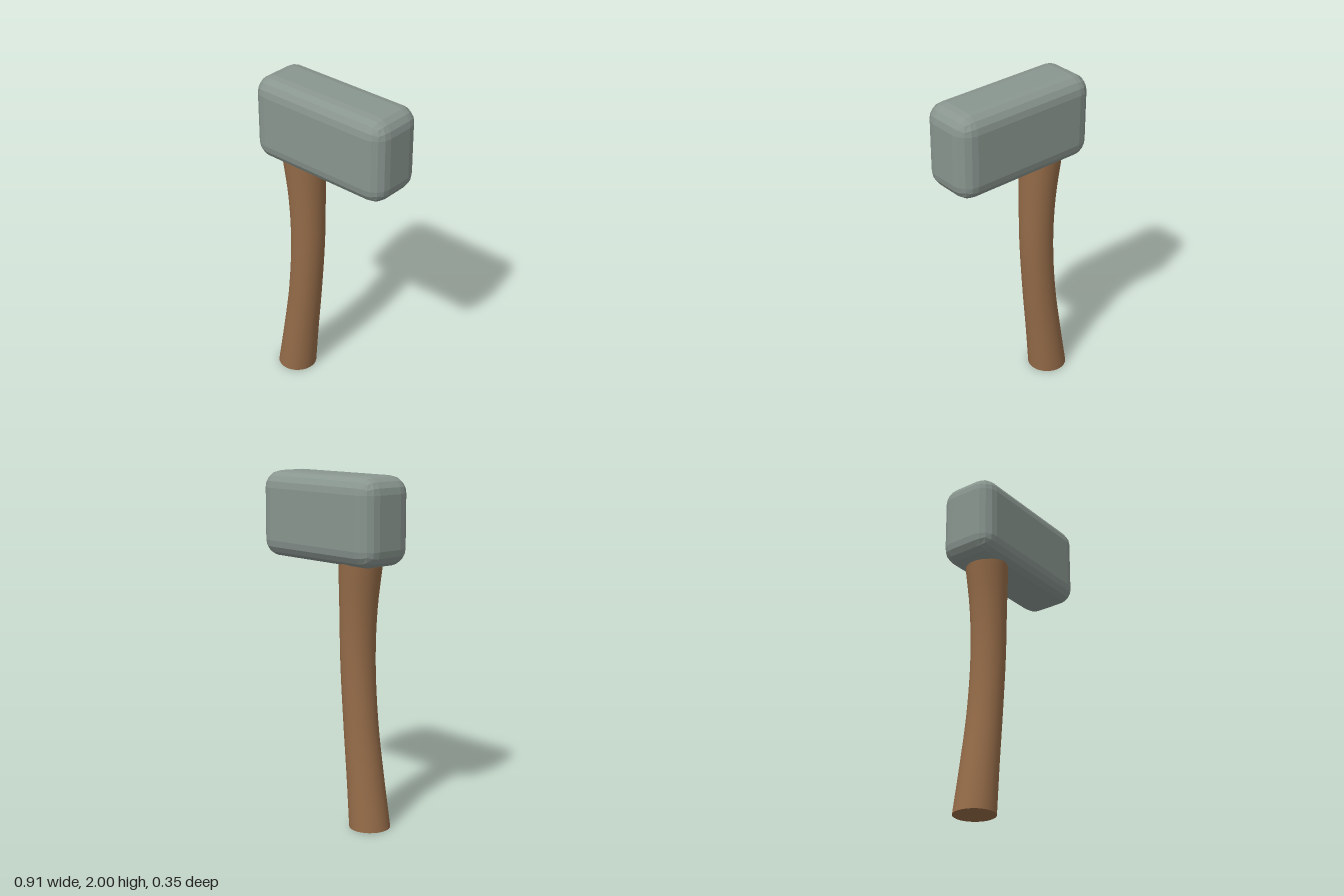
import * as THREE from 'three';
import { toCreasedNormals } from 'three/addons/utils/BufferGeometryUtils.js';

// Box with evenly stepped round edges: a cube grid bent onto a sphere, then pulled apart
function roundedBlock(width, height, depth, radius) {
  const geometry = new THREE.BoxGeometry(1, 1, 1, 5, 5, 5);
  const inner = new THREE.Vector3(width / 2 - radius, height / 2 - radius, depth / 2 - radius);
  const pos = geometry.attributes.position;
  const p = new THREE.Vector3();
  // grid lines at 0.1, 0.3, 0.5 become angles of 0, 22.5 and 45 degrees
  const bend = (c) => Math.sign(c) * Math.tan(((Math.abs(c) - 0.1) / 0.4) * Math.PI / 4);
  for (let i = 0; i < pos.count; i++) {
    p.fromBufferAttribute(pos, i);
    const side = new THREE.Vector3(Math.sign(p.x), Math.sign(p.y), Math.sign(p.z));
    p.set(bend(p.x), bend(p.y), bend(p.z)).normalize().multiplyScalar(radius);
    p.add(side.multiply(inner));
    pos.setXYZ(i, p.x, p.y, p.z);
  }
  geometry.computeVertexNormals();
  return geometry;
}

// Round shaft following a bent centre line with a changing radius
function bentShaft(stations) {
  // each station is (centre x, y, radius)
  const curve = new THREE.CatmullRomCurve3(stations.map((s) => new THREE.Vector3(...s)));
  const geometry = new THREE.CylinderGeometry(1, 1, 1, 32, 20);
  const pos = geometry.attributes.position;
  for (let i = 0; i < pos.count; i++) {
    const s = curve.getPoint(THREE.MathUtils.clamp(pos.getY(i) + 0.5, 0, 1));
    pos.setXYZ(i, s.x + pos.getX(i) * s.z, s.y, pos.getZ(i) * s.z);
  }
  return toCreasedNormals(geometry, 0.8);
}

export function createModel() {
  const model = new THREE.Group();
  model.name = 'hammer';

  const stone = new THREE.MeshStandardMaterial({ color: 0x89958f, flatShading: true });
  stone.name = 'grey stone';
  const wood = new THREE.MeshStandardMaterial({ color: 0x946b48 });
  wood.name = 'brown wood';

  // Heavy block head
  const head = new THREE.Mesh(roundedBlock(0.906, 0.495, 0.35, 0.097), stone);
  head.name = 'head';
  head.position.y = 1.7525;
  model.add(head);

  // Curved handle, flared at both ends, set off-centre under the head
  const handle = new THREE.Mesh(bentShaft([
    [-0.308, 0, 0.118],
    [-0.268, 0.3, 0.107],
    [-0.23, 0.6, 0.1],
    [-0.204, 0.95, 0.1],
    [-0.206, 1.25, 0.107],
    [-0.224, 1.54, 0.126],
  ]), wood);
  handle.name = 'handle';
  model.add(handle);

  return model;
}
